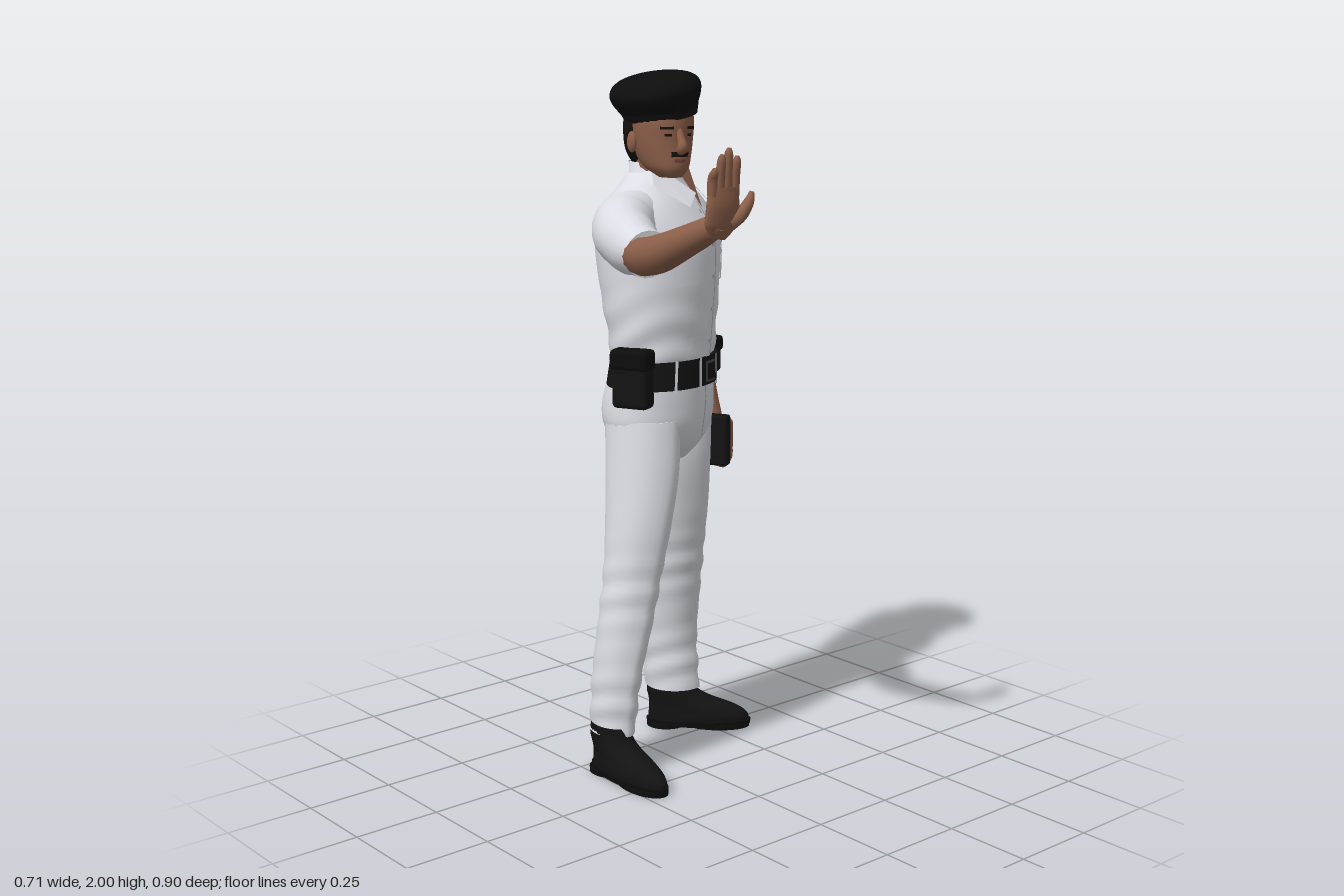
import * as THREE from 'three';
import { RoundedBoxGeometry } from 'three/addons/geometries/RoundedBoxGeometry.js';

const mat = (name, color, side = THREE.FrontSide) => {
  const m = new THREE.MeshStandardMaterial({ color, side });
  m.name = name;
  return m;
};
const PI = Math.PI, rad = THREE.MathUtils.degToRad;
const V = (x, y, z) => new THREE.Vector3(x, y, z);

// Grid surface from f(row, col); a closed ring is welded and capped at both ends
function surface(rows, cols, closed, f) {
  const pos = [], idx = [], n = closed ? cols : cols + 1;
  const put = (v) => pos.push(v.x, v.y, v.z) / 3 - 1;
  for (let i = 0; i <= rows; i++) for (let j = 0; j < n; j++) put(f(i / rows, j / cols));
  for (let i = 0; i < rows; i++) for (let j = 0; j < cols; j++) {
    const k = (j + 1) % n, a = i * n + j, b = i * n + k;
    idx.push(a, a + n, b, b, a + n, b + n);
  }
  if (closed) for (const end of [0, 1]) {
    const c = V(0, 0, 0), ring = [];
    for (let j = 0; j < cols; j++) { const p = f(end, j / cols); c.add(p); ring.push(put(p)); }
    const m = put(c.divideScalar(cols));
    ring.forEach((r, j) => {
      const q = ring[(j + 1) % cols];
      end ? idx.push(m, q, r) : idx.push(m, r, q);
    });
  }
  const g = new THREE.BufferGeometry();
  g.setAttribute('position', new THREE.Float32BufferAttribute(pos, 3));
  g.setIndex(idx);
  g.computeVertexNormals();
  return g;
}

// Smooth interpolation of rows [y, cx, cz, rx, rz, yaw] at height y
function at(rows, y) {
  let i = 0;
  while (i < rows.length - 2 && y > rows[i + 1][0]) i++;
  const A = rows[i], B = rows[i + 1], P = rows[i - 1] || A, N = rows[i + 2] || B;
  const h = B[0] - A[0], t = (y - A[0]) / h;
  return A.map((a, k) => {
    const m0 = (B[k] - P[k]) / (B[0] - P[0]) * h, m1 = (N[k] - A[k]) / (N[0] - A[0]) * h;
    return a * (1 + 2 * t) * (1 - t) ** 2 + m0 * t * (1 - t) ** 2 + B[k] * t * t * (3 - 2 * t) + m1 * t * t * (t - 1);
  });
}
// Body of stacked ellipses, or a patch lying on it when an angle range is given
function stack(rows, { y0 = rows[0][0], y1 = rows.at(-1)[0], a0 = 0, a1 = 2 * PI, n = 28, steps = 24, grow = 0 } = {}) {
  return surface(steps, n, a1 - a0 > 6.28, (u, v) => {
    const y = y0 + (y1 - y0) * u, a = a0 + (a1 - a0) * v;
    const [, cx, cz, rx, rz, yaw = 0] = at(rows, y), w = rad(yaw);
    const g = typeof grow === 'function' ? grow(a, y) : grow;
    const x = (rx + g) * Math.cos(a), z = (rz + g) * Math.sin(a);
    return V(cx + x * Math.cos(w) + z * Math.sin(w), y, cz - x * Math.sin(w) + z * Math.cos(w));
  });
}
// Round limb through points [x, y, z, radius]
function limb(pts, { n = 14, steps = 14, ref = V(1, 0, 0), flat = 1, fold = 0 } = {}) {
  const curve = new THREE.CatmullRomCurve3(pts.map((p) => V(p[0], p[1], p[2])));
  return surface(steps, n, true, (u, v) => {
    const s = u * (pts.length - 1), i = Math.min(Math.floor(s), pts.length - 2), a = v * 2 * PI;
    const r = THREE.MathUtils.lerp(pts[i][3], pts[i + 1][3], s - i) + fold * Math.sin(u * 19 + 2 * Math.cos(a));
    const T = curve.getTangent(u), U = ref.clone().addScaledVector(T, -T.dot(ref)).normalize();
    const W = U.clone().cross(T);
    return curve.getPoint(u).addScaledVector(U, r * Math.cos(a)).addScaledVector(W, r * flat * Math.sin(a));
  });
}

export function createModel() {
  const white = mat('white cloth', 0xdcdde4, THREE.DoubleSide), seam = mat('seam grey', 0xaeb0ba, THREE.DoubleSide);
  const skin = mat('skin', 0x8c604a, THREE.DoubleSide), black = mat('black leather', 0x131314);
  const felt = mat('black felt', 0x0d0d0e), hair = mat('dark hair', 0x15100e), lip = mat('lips', 0x6e4236);
  const metal = mat('dark metal', 0x4a4a4e);
  const model = new THREE.Group();
  const add = (name, geo, m, parent = model) => {
    const o = new THREE.Mesh(geo, m);
    o.name = name;
    parent.add(o);
    return o;
  };
  const group = (name, x, y, z, yaw, parent = model) => {
    const g = new THREE.Group();
    g.name = name;
    g.position.set(x, y, z);
    g.rotation.y = yaw;
    parent.add(g);
    return g;
  };
  const box = (name, m, w, h, d, x, y, z, yaw) => {
    const o = add(name, new RoundedBoxGeometry(w, h, d, 2, Math.min(w, h, d) * 0.25), m);
    o.position.set(x, y, z);
    o.rotation.y = yaw;
    return o;
  };

  // Shirt, with loose folds above the belt
  const torso = [[1.16, .02, -.185, .178, .128, 24], [1.3, .02, -.195, .2, .146, 25], [1.45, .025, -.212, .216, .163, 25],
    [1.55, .03, -.226, .222, .163, 25], [1.63, .035, -.243, .205, .128, 25], [1.685, .04, -.25, .135, .092, 25], [1.73, .04, -.247, .072, .075, 25]];
  add('shirt', stack(torso, { n: 40, steps: 34, grow: (a, y) => .005 * Math.sin(y * 60 + 3 * Math.sin(2 * a)) * Math.max(0, 1.45 - y) * 4 }), white);
  add('placket', stack(torso, { y0: 1.2, y1: 1.64, a0: 1.53, a1: 1.66, n: 3, grow: .006 }), white);
  add('placketSeam', stack(torso, { y0: 1.2, y1: 1.64, a0: 1.5, a1: 1.53, n: 2, grow: .006 }), seam);
  for (let y = 1.25; y < 1.62; y += .09) add('button', stack(torso, { y0: y, y1: y + .01, a0: 1.575, a1: 1.62, n: 2, steps: 1, grow: .008 }), seam);
  for (const a of [.8, 1.9]) {
    add('pocket', stack(torso, { y0: 1.42, y1: 1.54, a0: a, a1: a + .45, n: 6, steps: 5, grow: .004 }), white);
    add('pocketSeam', stack(torso, { y0: 1.522, y1: 1.526, a0: a, a1: a + .45, n: 6, steps: 1, grow: .006 }), seam);
  }

  // Collar, open throat and neck
  add('neck', limb([[.04, 1.62, -.25, .07], [.035, 1.7, -.235, .064], [.025, 1.78, -.21, .062]]), skin);
  const collar = group('collar', .04, 0, -.247, rad(25));
  add('collarBand', stack([[1.69, 0, 0, .098, .086], [1.75, 0, -.008, .07, .068]], { a0: 2.0, a1: 7.42, n: 22, steps: 3 }), white, collar);
  const facets = (...p) => {
    const g = new THREE.BufferGeometry().setFromPoints(p);
    g.computeVertexNormals();
    return g;
  };
  add('throat', facets(V(-.04, 1.735, .085), V(0, 1.625, .146), V(.04, 1.735, .085)), skin, collar);
  for (const s of [-1, 1]) {
    const top = V(s * .066, 1.75, .02), front = V(s * .014, 1.665, .134), tip = V(s * .07, 1.63, .142), out = V(s * .115, 1.69, .05);
    add('collarFlap', facets(top, front, tip, top, tip, out), white, collar);
    add('collarBack', facets(top, out, V(s * .08, 1.695, -.07), top, V(s * .08, 1.695, -.07), V(s * .045, 1.75, -.06)), white, collar);
  }

  // Head, facing a little to its right
  const head = group('head', .022, 0, -.2, -.17);
  const skull = [[1.712, 0, .055, .03, .038], [1.735, 0, .035, .056, .071], [1.77, 0, .015, .072, .092], [1.81, 0, .005, .082, .102], [1.86, 0, 0, .087, .111], [1.91, 0, 0, .083, .108]];
  add('face', stack(skull), skin, head);
  add('hair', stack([[1.735, 0, -.06, .045, .035], [1.775, 0, -.045, .076, .066], [1.82, 0, -.035, .089, .081], [1.91, 0, -.02, .091, .098]]), hair, head);
  add('nose', limb([[0, 1.845, .102, .009], [0, 1.815, .117, .012], [0, 1.795, .124, .017], [0, 1.785, .108, .012]], { n: 8, steps: 8 }), skin, head);
  const mark = (name, m, y0, y1, a, half, grow) => add(name, stack(skull, { y0, y1, a0: a - half, a1: a + half, n: 6, steps: 2, grow }), m, head);
  mark('moustache', hair, 1.77, 1.784, PI / 2, .34, .006);
  mark('mouth', lip, 1.754, 1.763, PI / 2, .24, .003);
  for (const s of [-1, 1]) {
    mark('eyebrow', hair, 1.845, 1.853, PI / 2 + s * .43, .2, .005);
    mark('eye', hair, 1.826, 1.833, PI / 2 + s * .4, .11, .002);
    const ear = add('ear', new THREE.SphereGeometry(.03, 10, 8), skin, head);
    ear.scale.set(.4, 1, .65);
    ear.position.set(s * .087, 1.808, -.008);
  }

  // Beret, sloping down to its right
  const beret = group('beret', .01, 1.933, -.203, 0);
  beret.rotation.z = .2;
  add('beretCrown', stack([[-.035, 0, 0, .1, .124], [0, -.002, 0, .117, .14], [.025, 0, 0, .118, .141], [.048, .005, 0, .095, .118], [.06, .01, 0, .05, .065], [.062, .01, 0, .01, .015]]), felt, beret);
  add('beretBand', stack([[-.058, .004, 0, .092, .117], [-.03, .002, 0, .102, .126]], { steps: 2 }), black, beret);

  // Trousers: hips, then a creased leg each side
  add('hips', stack([[.91, .01, -.2, .07, .08, 22], [.95, .01, -.2, .14, .115, 22], [1.01, .008, -.2, .188, .143, 22], [1.08, .01, -.2, .194, .149, 22], [1.19, .018, -.187, .182, .132, 24]]), white);
  add('fly', stack([[.98, .01, -.2, .17, .14, 22], [1.08, .01, -.2, .196, .152, 22], [1.14, .014, -.194, .19, .142, 23]], { a0: 1.55, a1: 1.58, n: 1 }), seam);
  const legs = {
    rightLeg: [[.13, -.198, -.165, .058, .076, 0], [.3, -.188, -.153, .066, .08, 0], [.45, -.165, -.142, .075, .083, 5], [.6, -.14, -.137, .082, .087, 8], [.75, -.116, -.138, .09, .1, 10], [.9, -.093, -.148, .096, .11, 15], [1.04, -.085, -.158, .09, .11, 20]],
    leftLeg: [[.13, .173, -.34, .061, .08, 35], [.3, .165, -.344, .07, .082, 32], [.45, .155, -.325, .077, .088, 28], [.6, .14, -.3, .083, .097, 25], [.75, .122, -.272, .091, .107, 22], [.9, .105, -.25, .1, .113, 20], [1.04, .1, -.24, .09, .115, 20]],
  };
  for (const [name, rows] of Object.entries(legs)) {
    const fold = (y) => Math.exp(-(((y - .22) / .1) ** 2)) + .8 * Math.exp(-(((y - .55) / .1) ** 2));
    add(name, stack(rows, { n: 32, steps: 48, grow: (a, y) => .007 * Math.abs(Math.sin(a)) ** 24 + .004 * fold(y) * Math.sin(y * 75 + 2.5 * Math.cos(a + 1)) }), white);
  }

  // Shoes
  for (const [name, x, z, yaw] of [['rightShoe', -.207, -.155, 0], ['leftShoe', .175, -.34, .82]]) {
    const shoe = group(name, x, 0, z, yaw);
    add('upper', stack([[.015, 0, .08, .052, .155], [.04, 0, .079, .055, .154], [.065, 0, .062, .052, .135], [.09, 0, .025, .05, .1], [.115, 0, 0, .05, .08], [.155, 0, -.004, .05, .07]]), black, shoe);
    add('sole', stack([[.008, 0, .08, .055, .16], [.024, 0, .08, .057, .162]], { steps: 2 }), felt, shoe);
    add('heel', stack([[0, 0, -.02, .05, .06], [.015, 0, -.02, .05, .06]], { steps: 1 }), felt, shoe);
    add('toePad', stack([[0, 0, .14, .052, .098], [.015, 0, .14, .052, .098]], { steps: 1 }), felt, shoe);
  }

  // Belt with buckle, loops and pouches
  const belt = [[1.13, .016, -.19, .197, .148, 24], [1.21, .02, -.186, .19, .141, 24]];
  add('belt', stack(belt, { n: 40, steps: 3 }), black);
  add('buckle', stack(belt, { y0: 1.14, y1: 1.2, a0: 1.42, a1: 1.72, n: 4, steps: 2, grow: .007 }), metal);
  add('bucklePlate', stack(belt, { y0: 1.147, y1: 1.193, a0: 1.45, a1: 1.69, n: 4, steps: 2, grow: .01 }), black);
  for (const a of [.95, 1.32, 1.82, 2.3, 4.1, 4.71, 5.3]) add('beltLoop', stack(belt, { y0: 1.125, y1: 1.213, a0: a, a1: a + .05, n: 1, steps: 2, grow: .006 }), white);
  const hip = rad(24);
  box('rightHolster', black, .06, .16, .11, -.163, 1.165, -.1, hip);
  box('rightHolsterFlap', felt, .068, .06, .118, -.164, 1.222, -.1, hip);
  box('leftPouch', black, .055, .1, .13, .19, 1.18, -.235, hip);
  box('leftPouchFlap', felt, .063, .045, .137, .191, 1.215, -.235, hip);

  // Left arm hanging, hand holding a notebook
  add('leftSleeve', limb([[.13, 1.635, -.3, .058], [.185, 1.585, -.348, .077], [.222, 1.46, -.372, .074], [.257, 1.335, -.376, .064]], { n: 20, steps: 20, fold: .002 }), white);
  add('leftForearm', limb([[.25, 1.36, -.376, .05], [.262, 1.25, -.368, .05], [.282, 1.14, -.355, .049], [.297, 1.02, -.32, .035], [.303, .94, -.298, .034]]), skin);
  box('leftPalm', skin, .05, .1, .1, .307, .915, -.288, .25);
  for (let i = 0; i < 4; i++) {
    const z = -.325 + i * .026;
    add('leftFinger', limb([[.318, .9, z, .012], [.318, .855, z, .015], [.293, .833, z + .005, .014], [.262, .85, z + .008, .01]], { n: 8, steps: 9, ref: V(0, 0, 1) }), skin);
  }
  add('leftThumb', limb([[.305, .955, -.25, .017], [.295, .92, -.23, .016], [.275, .875, -.222, .01]], { n: 8, steps: 6 }), skin);
  box('notebook', black, .04, .155, .1, .263, .91, -.25, .45);

  // Right arm stretched forward
  add('rightSleeve', limb([[-.08, 1.6, -.19, .08], [-.165, 1.585, -.135, .088], [-.225, 1.555, -.03, .08], [-.264, 1.538, .09, .064]], { n: 20, steps: 20, fold: .002 }), white);
  add('rightForearm', limb([[-.262, 1.535, .05, .05], [-.292, 1.537, .12, .051], [-.305, 1.555, .2, .05], [-.308, 1.593, .3, .041], [-.305, 1.632, .39, .033], [-.3, 1.65, .415, .025]]), skin);

  // Raised right hand, palm forward
  add('rightPalm', limb([[-.298, 1.61, .405, .03], [-.293, 1.64, .413, .05], [-.291, 1.69, .422, .053], [-.291, 1.735, .422, .046]], { n: 16, flat: .36 }), skin);
  [[-.331, 1.785], [-.307, 1.817], [-.284, 1.832], [-.258, 1.812]].forEach(([x, tip], i) => {
    const base = -.326 + i * .024;
    add('rightFinger', limb([[base, 1.715, .422, .013], [(base + x) / 2, 1.76, .427, .0125], [x, tip - .012, .436, .011], [x, tip, .438, .005]], { n: 8, steps: 8 }), skin);
  });
  add('rightThumb', limb([[-.265, 1.645, .417, .02], [-.237, 1.668, .43, .018], [-.215, 1.7, .435, .013], [-.207, 1.722, .435, .006]], { n: 8, steps: 8 }), skin);

  return model;
}
